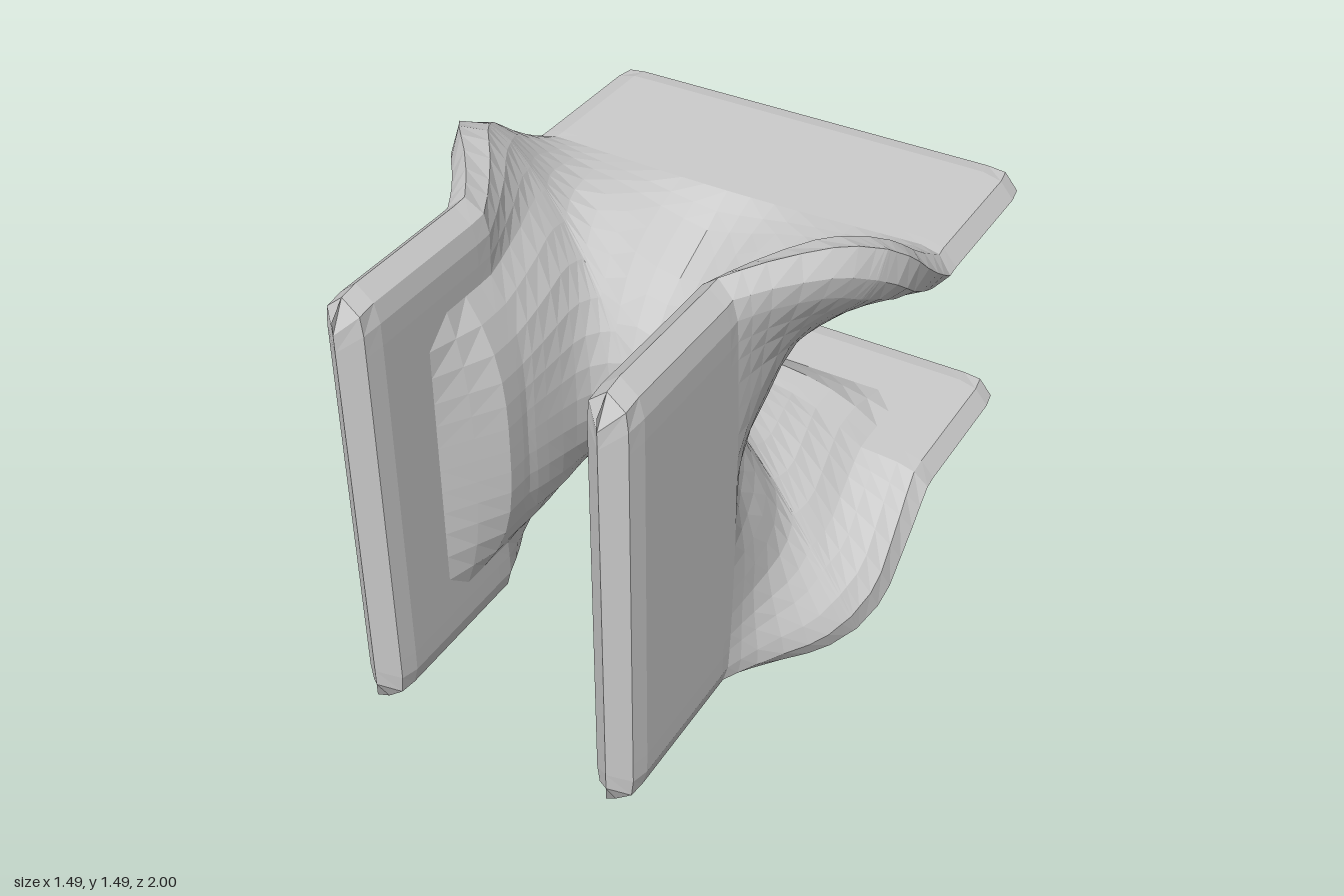
import * as THREE from 'three';

const HALF = 0.735;   // half width of each plate
const GAP = 0.4;      // plate distance from the centre line
const BLEND = 0.4;    // depth over which crossing plates merge
const clamp = THREE.MathUtils.clamp;

// rows across the plate (scaled to its edge) and rows from the centre to the free end
const half = [0.08, 0.16, 0.24, 0.33, 0.42, 0.5, 0.56, 0.63, 0.69, HALF];
const across = [...half.map(v => -v).reverse(), 0, ...half];
const along = [0, 0.008, 0.03, 0.075, 0.13, 0.2, 0.28, 0.34, 0.4, 0.45, 0.52, 0.61, 0.7, 0.89, 0.95, 1];

// Middle sheet of one plate with its normal and the two skin distances
function sheet(v, z) {
  // edge line: chamfered at the free end, slightly flared and rounded where the arms meet
  const flare = 0.012 * clamp((0.45 - z) / 0.2, 0, 1);
  const edge = HALF + flare - Math.max(0, z - 0.94) - 0.45 * Math.max(0, 0.1 - z);
  const y = v * edge / HALF;

  // saddle: the plate pair at x = +-GAP turns into the pair at y = +-GAP
  const w = clamp(0.5 + 0.5 * z / BLEND, 0, 1);
  const slope = z < BLEND ? 0.5 / BLEND : z === BLEND ? 0.25 / BLEND : 0;
  const g = GAP * GAP;
  const x = Math.sqrt(Math.max(0, g + (1 - w) / w * (y * y - g)));
  const normal = new THREE.Vector3(2 * w * x, -2 * (1 - w) * y, slope * (x * x + y * y - 2 * g)).normalize();

  // thickness with a bevelled rim and a thicker root
  const rim = Math.min(edge - Math.abs(y), 1 - z);
  const bevel = rim < 0.05 ? rim * 17 : Math.min(1, 0.85 + (rim - 0.05) * 2.5);
  const t = (0.07 + 0.02 * Math.max(0, 1 - z / 0.3)) * bevel;

  // swelling on the inner side
  const swell = 0.12 * Math.min(Math.sin(Math.min(z / BLEND, 1) * Math.PI / 2), clamp((0.7 - z) / 0.18, 0, 1))
    * Math.max(0, 1 - Math.abs(y / 0.5) ** 3);

  // V-shaped valley with raised shoulders on the outer side
  const valley = 0.045 * Math.sin(Math.min(z / BLEND, 1) * Math.PI)
    * Math.min(0.4, Math.abs(y) / 0.16 - 1) * clamp((0.45 - Math.abs(y)) / 0.1, 0, 1);

  return { point: new THREE.Vector3(x, y, z), normal, outer: t + valley, inner: -t - swell };
}

// One plate, from the central saddle to its free end
function plateGeometry() {
  const positions = [], index = [];
  const n = across.length, mid = (n - 1) / 2;
  for (const side of ['outer', 'inner']) {
    const base = positions.length / 3;
    for (const z of along) for (const v of across) {
      const s = sheet(v, z);
      positions.push(...s.point.addScaledVector(s.normal, s[side]).toArray());
    }
    for (let j = 0; j < along.length - 1; j++) for (let i = 0; i < n - 1; i++) {
      const a = base + j * n + i, b = a + 1, d = a + n, c = d + 1;
      const tris = i < mid ? [[a, b, c], [a, c, d]] : [[a, b, d], [b, c, d]];
      for (const [p, q, r] of tris) index.push(...(side === 'outer' ? [p, q, r] : [p, r, q]));
    }
  }
  const geometry = new THREE.BufferGeometry();
  geometry.setAttribute('position', new THREE.Float32BufferAttribute(positions, 3));
  geometry.setIndex(index);
  geometry.computeVertexNormals();
  return geometry;
}

export function createModel() {
  const model = new THREE.Group();
  model.name = 'crossedPlates';
  const geometry = plateGeometry();
  const material = new THREE.MeshStandardMaterial({ color: 0xcccccc, flatShading: true });

  // the same plate turned about the three half-turn axes of the saddle
  const plates = [
    ['leftFrontPlate', [0, 0, 1], 0],
    ['rightFrontPlate', [0, 0, 1], Math.PI],
    ['upperBackPlate', [1, 1, 0], Math.PI],
    ['lowerBackPlate', [1, -1, 0], Math.PI],
  ];
  for (const [name, axis, angle] of plates) {
    const plate = new THREE.Mesh(geometry, material);
    plate.name = name;
    plate.quaternion.setFromAxisAngle(new THREE.Vector3(...axis).normalize(), angle);
    plate.position.y = 0.745;
    model.add(plate);
  }
  return model;
}
